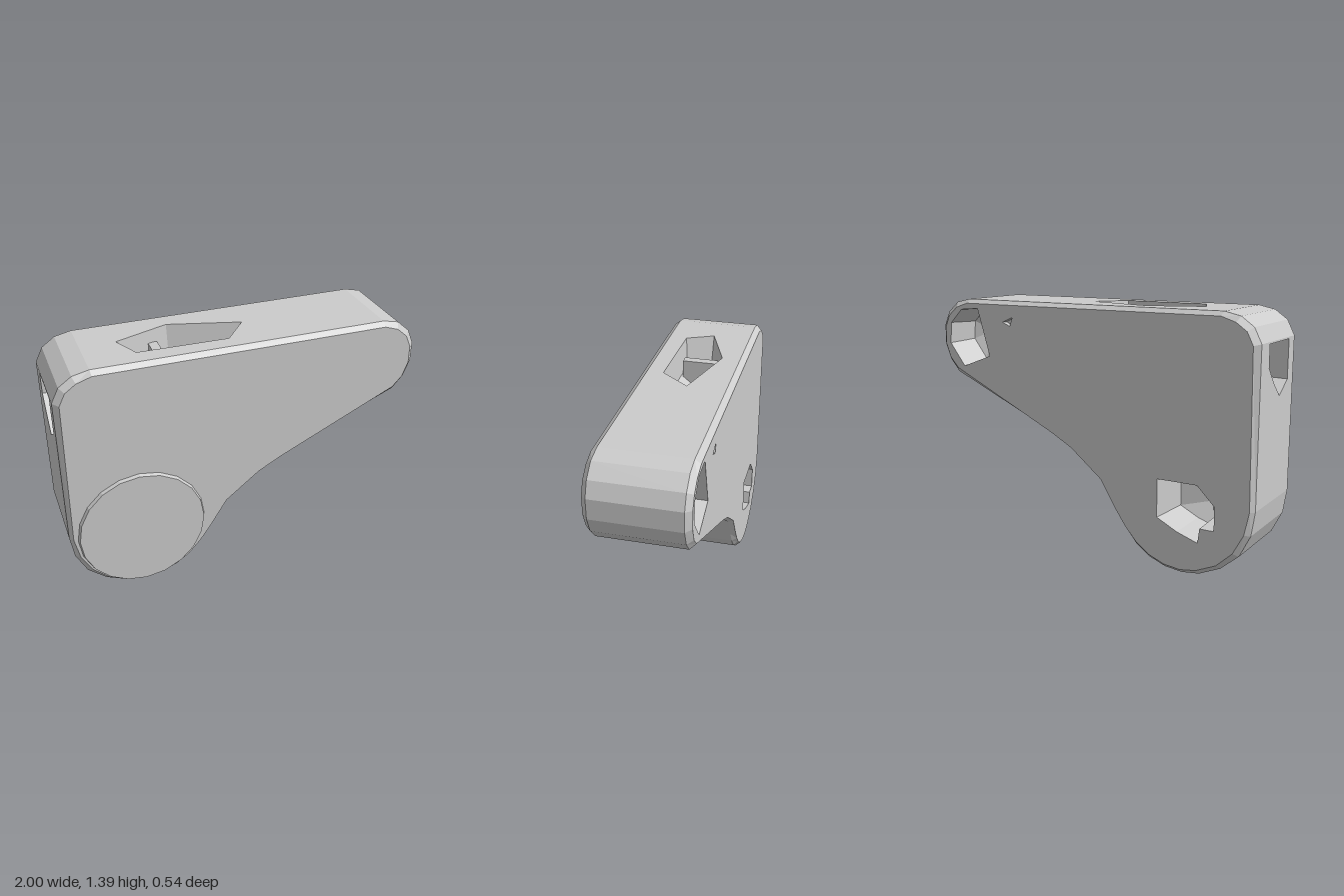
import * as THREE from 'three';

const material = new THREE.MeshStandardMaterial({ color: 0xcccccc, flatShading: true });
const linerMaterial = new THREE.MeshStandardMaterial({ color: 0xcccccc, flatShading: true, side: THREE.DoubleSide });

const V = (x, y, z) => new THREE.Vector3(x, y, z);
const toPoints = (list) => list.map(([x, y]) => new THREE.Vector2(x, y));

// Side profile, counterclockwise from the left end of the top edge
const profile = toPoints([
  [-0.8, 1.39], [-0.89, 1.37], [-0.96, 1.32], [-1, 1.24], [-1, 0.4],
  [-0.98, 0.27], [-0.92, 0.15], [-0.82, 0.065], [-0.7, 0.012], [-0.6, 0],
  [-0.5, 0.012], [-0.4, 0.05], [-0.32, 0.11], [-0.25, 0.195], [-0.2, 0.28],
  [-0.1, 0.44], [0.09, 0.59], [0.22, 0.66], [0.41, 0.75], [0.9, 0.96],
  [0.96, 1.03], [0.995, 1.12], [0.995, 1.23], [0.96, 1.31], [0.89, 1.37], [0.8, 1.39],
]);

// Profile pulled inward, more at the rounded corners than along straight runs
const inset = profile.map((p, i) => {
  const n = profile.length;
  const d1 = p.clone().sub(profile[(i + n - 1) % n]).normalize();
  const d2 = profile[(i + 1) % n].clone().sub(p).normalize();
  const turn = THREE.MathUtils.clamp(d1.cross(d2) / 0.4, 0, 1);
  const d = d1.add(d2).normalize();
  return p.clone().add(new THREE.Vector2(-d.y, d.x).multiplyScalar(0.012 + 0.02 * turn));
});

function meshFrom(points, name, mat = material) {
  const geometry = new THREE.BufferGeometry().setFromPoints(points);
  geometry.computeVertexNormals();
  const mesh = new THREE.Mesh(geometry, mat);
  mesh.name = name;
  return mesh;
}

// Flat panel in the u-v plane, with pockets sunk along -w
function pocketPanel(name, outline, pockets, u, v, w, origin) {
  const group = new THREE.Group();
  group.name = name;
  const shape = new THREE.Shape(outline);
  pockets.forEach(({ points, depth, dip = 0 }) => {
    const rim = toPoints(points);
    if (THREE.ShapeUtils.isClockWise(rim)) rim.reverse();
    shape.holes.push(new THREE.Path(rim));
    const centre = rim.reduce((s, p) => s.add(p), new THREE.Vector2()).divideScalar(rim.length);
    const base = rim.map((p) => p.clone().lerp(centre, 0.12));
    const tris = [];
    rim.forEach((a, i) => {
      const j = (i + 1) % rim.length;
      const at = V(a.x, a.y, 0), bt = V(rim[j].x, rim[j].y, 0);
      const ab = V(base[i].x, base[i].y, -depth), bb = V(base[j].x, base[j].y, -depth);
      tris.push(at, bt, bb, at, bb, ab, ab, bb, V(centre.x, centre.y, -depth - dip));
    });
    group.add(meshFrom(tris, 'pocketLining', linerMaterial));
  });
  const face = new THREE.Mesh(new THREE.ShapeGeometry(shape), material);
  face.name = 'panelFace';
  group.add(face);
  group.applyMatrix4(new THREE.Matrix4().makeBasis(u, v, w).setPosition(origin));
  return group;
}

export function createModel() {
  const model = new THREE.Group();
  model.name = 'bracketArm';
  const zBack = -0.27, zFront = 0.25, z0 = -0.24, z1 = 0.22;

  // Side wall with chamfered rims; the top and blunt-end strips are panels
  const rings = [[inset, zBack], [profile, z0], [profile, z1], [inset, zFront]];
  const wall = [];
  for (let k = 0; k < 3; k++) {
    const [lo, za] = rings[k], [hi, zb] = rings[k + 1];
    profile.forEach((p, i) => {
      const j = (i + 1) % profile.length;
      const isPanel = j === 0 || i === 3;
      if (k === 1 && isPanel) return;
      const a = V(lo[i].x, lo[i].y, za), b = V(lo[j].x, lo[j].y, za);
      const c = V(hi[j].x, hi[j].y, zb), d = V(hi[i].x, hi[i].y, zb);
      wall.push(a, b, c, a, c, d);
    });
  }
  model.add(meshFrom(wall, 'sideWall'));

  // Front face
  const front = new THREE.Mesh(new THREE.ShapeGeometry(new THREE.Shape(inset)), material);
  front.name = 'frontFace';
  front.position.z = zFront;
  model.add(front);

  // Back face with tip and hub sockets (u runs along -x)
  const flip = (list) => list.map(([x, y]) => [-x, y]);
  model.add(pocketPanel('backFace', inset.map((p) => new THREE.Vector2(-p.x, p.y)).reverse(), [
    { points: flip([[0.72, 1.34], [0.64, 1.07], [0.83, 1.0], [0.93, 1.13], [0.92, 1.25], [0.84, 1.33]]), depth: 0.2, dip: 0.06 },
    { points: flip([[0.54, 1.27], [0.47, 1.3], [0.49, 1.25]]), depth: 0.03 },
    {
      points: flip([[-0.46, 0.5], [-0.69, 0.5], [-0.79, 0.4], [-0.79, 0.27], [-0.71, 0.27],
        [-0.7, 0.19], [-0.58, 0.23], [-0.46, 0.29]]),
      depth: 0.24, dip: 0.06,
    },
  ], V(-1, 0, 0), V(0, 1, 0), V(0, 0, -1), V(0, 0, zBack)));

  // Top face with a long five-sided pocket (v runs along -z)
  model.add(pocketPanel('topFace', toPoints([[-0.8, -z1], [0.8, -z1], [0.8, -z0], [-0.8, -z0]]), [
    { points: [[-0.31, 0.14], [0.08, 0.03], [-0.05, -0.13], [-0.54, -0.12], [-0.61, 0.03]], depth: 0.16, dip: 0.08 },
  ], V(1, 0, 0), V(0, 0, -1), V(0, 1, 0), V(0, 1.39, 0)));

  // Blunt end face with a socket (u runs along z)
  model.add(pocketPanel('endFace', toPoints([[z0, 0.4], [z1, 0.4], [z1, 1.24], [z0, 1.24]]), [
    { points: [[-0.13, 1.23], [0.14, 1.23], [0.14, 1.02], [0.03, 0.95], [-0.05, 1.02], [-0.13, 1.11]], depth: 0.2, dip: 0.05 },
  ], V(0, 0, 1), V(0, 1, 0), V(-1, 0, 0), V(-1, 0, 0)));

  // Rib standing inside the top pocket
  const rib = new THREE.Mesh(new THREE.BoxGeometry(0.05, 0.2, 0.2), material);
  rib.name = 'pocketRib';
  rib.position.set(-0.4, 1.22, 0);
  model.add(rib);

  // Raised round hub on the front
  const hub = new THREE.Mesh(new THREE.CylinderGeometry(0.35, 0.368, 0.05, 20), material);
  hub.name = 'hubDisc';
  hub.rotation.x = Math.PI / 2;
  hub.position.set(-0.6, 0.39, 0.245);
  model.add(hub);

  return model;
}
